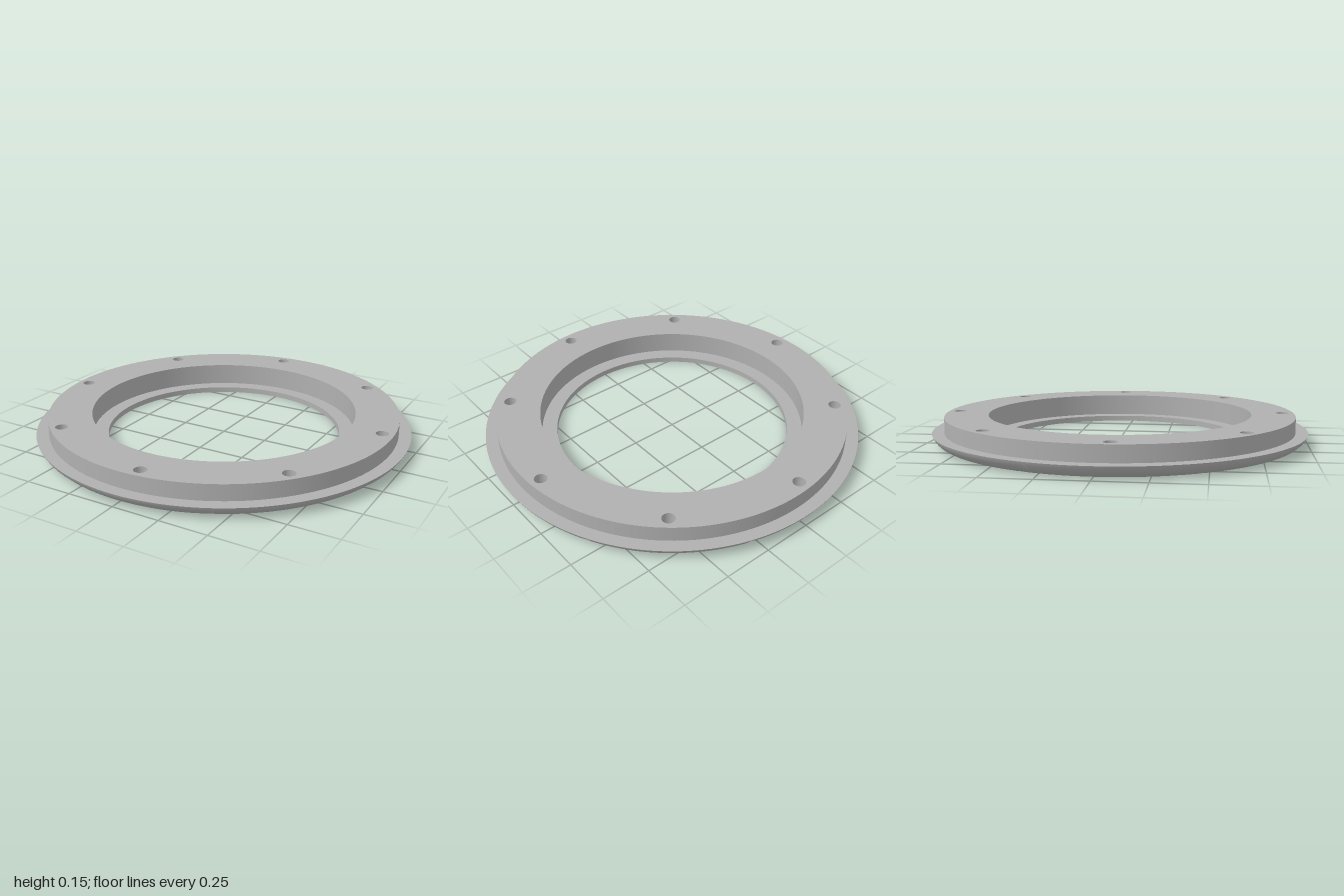
import * as THREE from 'three';

const TAU = Math.PI * 2;
const HOLES = 8, PER_SECTOR = 24, SEGMENTS = HOLES * PER_SECTOR;
const START = -0.08;                       // angle of the first hole, from +x towards +z
const OUTER = 1, BODY = 0.935, BORE = 0.705, INNER = 0.625;
const RIM_Y = 0.065, TOP_Y = 0.148, LEDGE_Y = 0.03;
const HOLE_AT = 0.875, HOLE_R = 0.033, SINK_R = 0.072, SINK_Y = 0.04;
const ROUND_R = 0.1, ROUND_AT = OUTER - Math.sqrt(ROUND_R ** 2 - (ROUND_R - RIM_Y) ** 2);

// Height of the underside at a given radius: flat, then rounded up to the rim
function undersideY(r) {
  const d = Math.max(0, r - ROUND_AT);
  return ROUND_R - Math.sqrt(ROUND_R ** 2 - d * d);
}

// Surface through rows of points
function grid(rows) {
  const n = rows[0].length, index = [];
  for (let i = 0; i < rows.length - 1; i++) {
    for (let j = 0; j < n - 1; j++) {
      const a = i * n + j, b = a + n;
      index.push(a, b, a + 1, b, b + 1, a + 1);
    }
  }
  const g = new THREE.BufferGeometry().setFromPoints(rows.flat());
  g.setIndex(index);
  g.computeVertexNormals();
  return g;
}

// Points around one 45 degree sector of the ring, from its outer arc round to the start
function sectorOutline(angle) {
  const h = Math.PI / HOLES, out = [];
  const corners = [[OUTER, -h], [OUTER, h], [INNER, h], [INNER, -h]];
  corners.forEach(([r0, t0], k) => {
    const [r1, t1] = corners[(k + 1) % 4];
    const n = k % 2 ? 12 : PER_SECTOR;
    for (let i = 0; i < n; i++) {
      const r = r0 + (r1 - r0) * i / n, t = angle + t0 + (t1 - t0) * i / n;
      out.push(new THREE.Vector3(r * Math.cos(t), undersideY(r), r * Math.sin(t)));
    }
  });
  out.push(out[0].clone());
  return out;
}

export function createModel() {
  const group = new THREE.Group();
  const metal = new THREE.MeshStandardMaterial({ color: 0xb0b0b0, side: THREE.DoubleSide });
  metal.name = 'grey metal';
  const add = (geometry, name) => {
    const mesh = new THREE.Mesh(geometry, metal);
    mesh.name = name;
    group.add(mesh);
  };

  // Turned walls and ledges, one per profile segment so the edges stay sharp
  const profile = [
    [OUTER, RIM_Y, 'flangeTop'], [BODY, RIM_Y, 'outerWall'], [BODY, TOP_Y, null],
    [BORE, TOP_Y, 'boreWall'], [BORE, LEDGE_Y, 'innerLedge'], [INNER, LEDGE_Y, 'openingWall'], [INNER, 0, null],
  ];
  profile.forEach(([r, y, name], i) => {
    if (!name) return;
    const [r1, y1] = profile[i + 1];
    const points = [new THREE.Vector2(r, y), new THREE.Vector2(r1, y1)];
    add(new THREE.LatheGeometry(points, SEGMENTS, Math.PI / 2 - START), name);
  });

  // Flat top face with bolt holes
  const circle = (cx, cz, r, n) => Array.from({ length: n }, (_, i) => {
    const t = START + TAU * i / n;
    return new THREE.Vector2(cx + r * Math.cos(t), -(cz + r * Math.sin(t)));
  });
  const face = new THREE.Shape(circle(0, 0, BODY, SEGMENTS));
  face.holes.push(new THREE.Path(circle(0, 0, BORE, SEGMENTS)));

  for (let k = 0; k < HOLES; k++) {
    const angle = START + TAU * k / HOLES;
    const cx = HOLE_AT * Math.cos(angle), cz = HOLE_AT * Math.sin(angle);
    face.holes.push(new THREE.Path(circle(cx, cz, HOLE_R, 40)));

    // Mouth of the countersink, where its cone meets the underside
    const outline = sectorOutline(angle);
    const ringAt = (r, y) => outline.map(p => {
      const t = Math.atan2(p.z - cz, p.x - cx);
      return new THREE.Vector3(cx + r * Math.cos(t), y, cz + r * Math.sin(t));
    });
    const mouth = ringAt(SINK_R, 0).map(p => {
      const dx = (p.x - cx) / SINK_R, dz = (p.z - cz) / SINK_R;
      let r = SINK_R, y = 0;
      for (let i = 0; i < 8; i++) {
        y = undersideY(Math.hypot(cx + r * dx, cz + r * dz));
        r = SINK_R - (SINK_R - HOLE_R) * y / SINK_Y;
      }
      return new THREE.Vector3(cx + r * dx, y, cz + r * dz);
    });

    // Underside sector, stretched from the mouth to the sector outline
    const steps = 16, rows = [];
    for (let i = 0; i <= steps; i++) {
      rows.push(mouth.map((p, j) => {
        const q = p.clone().lerp(outline[j], i / steps);
        q.y = undersideY(Math.hypot(q.x, q.z));
        return q;
      }));
    }
    const under = grid(rows);
    const pos = under.attributes.position, normal = under.attributes.normal;
    for (let i = 0; i < pos.count; i++) {
      const x = pos.getX(i), z = pos.getZ(i), r = Math.hypot(x, z);
      const s = Math.max(0, r - ROUND_AT) / ROUND_R;
      normal.setXYZ(i, s * x / r, -Math.sqrt(1 - s * s), s * z / r);
    }
    add(under, 'underside');

    // Straight hole and conical countersink
    add(grid([ringAt(HOLE_R, TOP_Y), ringAt(HOLE_R, SINK_Y)]), 'boltHole');
    add(grid([ringAt(HOLE_R, SINK_Y), mouth]), 'countersink');
  }

  const top = new THREE.ShapeGeometry(face);
  top.rotateX(-Math.PI / 2);
  top.translate(0, TOP_Y, 0);
  add(top, 'topFace');
  return group;
}
